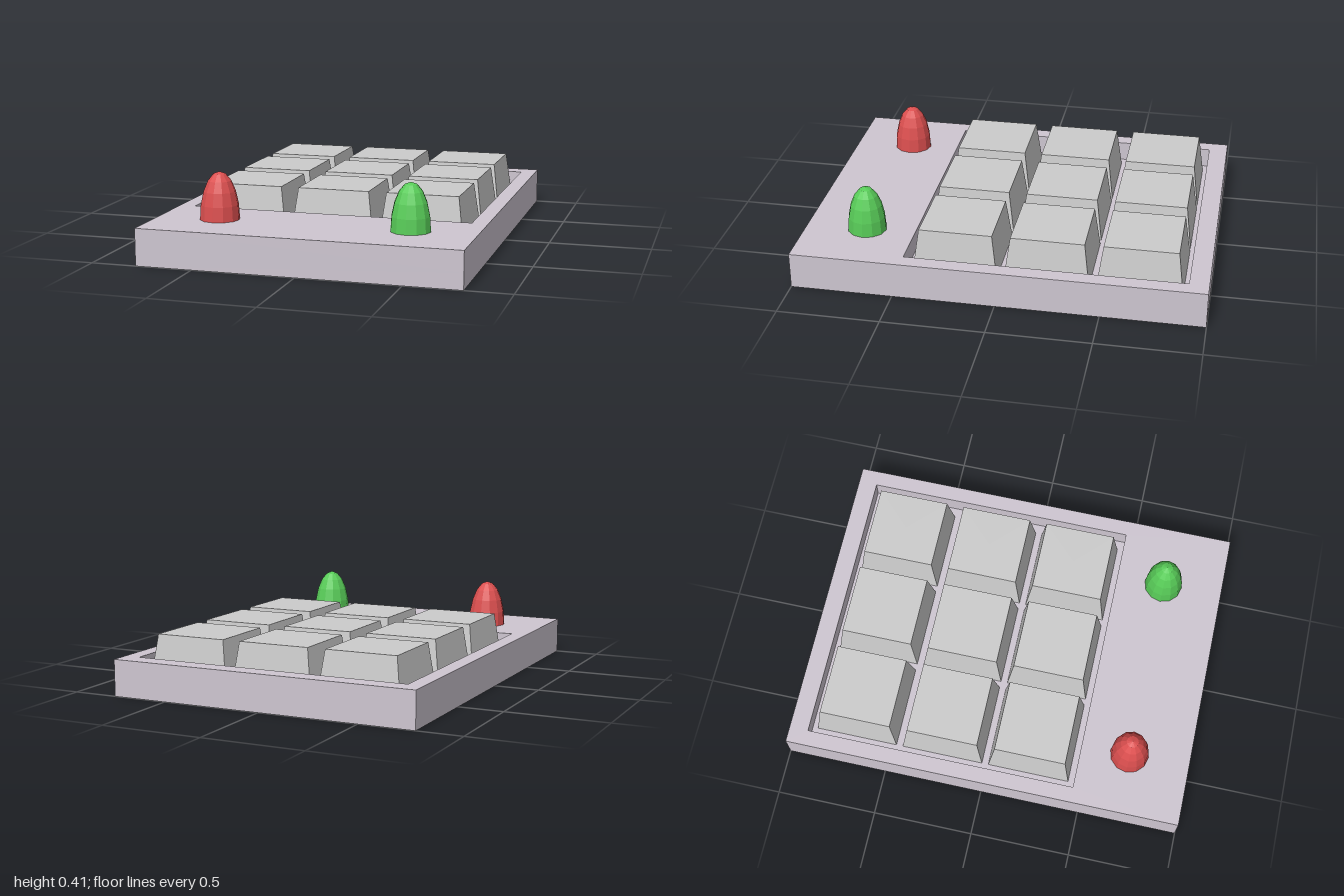
import * as THREE from 'three';

const DECK = 0.18, FLOOR = 0.08, KEY_TOP = 0.29;

const material = (color) => new THREE.MeshStandardMaterial({ color, flatShading: true });

function addMesh(parent, name, geometry, mat, x = 0, y = 0, z = 0) {
  const mesh = new THREE.Mesh(geometry, mat);
  mesh.name = name;
  mesh.position.set(x, y, z);
  parent.add(mesh);
  return mesh;
}

// Rectangle corners in plan; shape y becomes -z once laid flat
const rect = (x, z0, z1) => [
  new THREE.Vector2(-x, -z1), new THREE.Vector2(x, -z1),
  new THREE.Vector2(x, -z0), new THREE.Vector2(-x, -z0),
];

export function createModel() {
  const model = new THREE.Group();
  model.name = 'keypad';
  const bodyMat = material(0xcec6d1);
  const keyMat = material(0xcccccc);

  // Body: slab with a raised deck around the key recess
  const body = new THREE.Group();
  body.name = 'body';
  model.add(body);
  addMesh(body, 'baseSlab', new THREE.BoxGeometry(1.555, FLOOR, 2), bodyMat, 0, FLOOR / 2, 0);
  const deckShape = new THREE.Shape(rect(0.7775, -1, 1));
  deckShape.holes.push(new THREE.Path(rect(0.7, -0.905, 0.455)));
  const deckGeo = new THREE.ExtrudeGeometry(deckShape, { depth: DECK - FLOOR, bevelEnabled: false });
  deckGeo.rotateX(-Math.PI / 2);
  addMesh(body, 'deck', deckGeo, bodyMat, 0, FLOOR, 0);

  // Keys: 3 x 3 grid of tapered square caps standing in the recess
  const keys = new THREE.Group();
  keys.name = 'keys';
  model.add(keys);
  const keyGeo = new THREE.CylinderGeometry(0.356 / Math.SQRT2, 0.412 / Math.SQRT2, KEY_TOP - FLOOR, 4);
  keyGeo.rotateY(Math.PI / 4);
  for (let row = 0; row < 3; row++) {
    for (let col = 0; col < 3; col++) {
      addMesh(keys, `key${row * 3 + col + 1}`, keyGeo, keyMat,
        (col - 1) * 0.445, (FLOOR + KEY_TOP) / 2, -0.672 + row * 0.445);
    }
  }

  // Indicator lamps: tall faceted domes
  const domeGeo = new THREE.SphereGeometry(1, 12, 5, 0, Math.PI * 2, 0, Math.PI / 2);
  domeGeo.scale(0.096, 0.23, 0.096);
  addMesh(model, 'redLamp', domeGeo, material(0xdc4f4f), -0.472, DECK, 0.697);
  addMesh(model, 'greenLamp', domeGeo, material(0x58cc58), 0.463, DECK, 0.697);

  return model;
}
